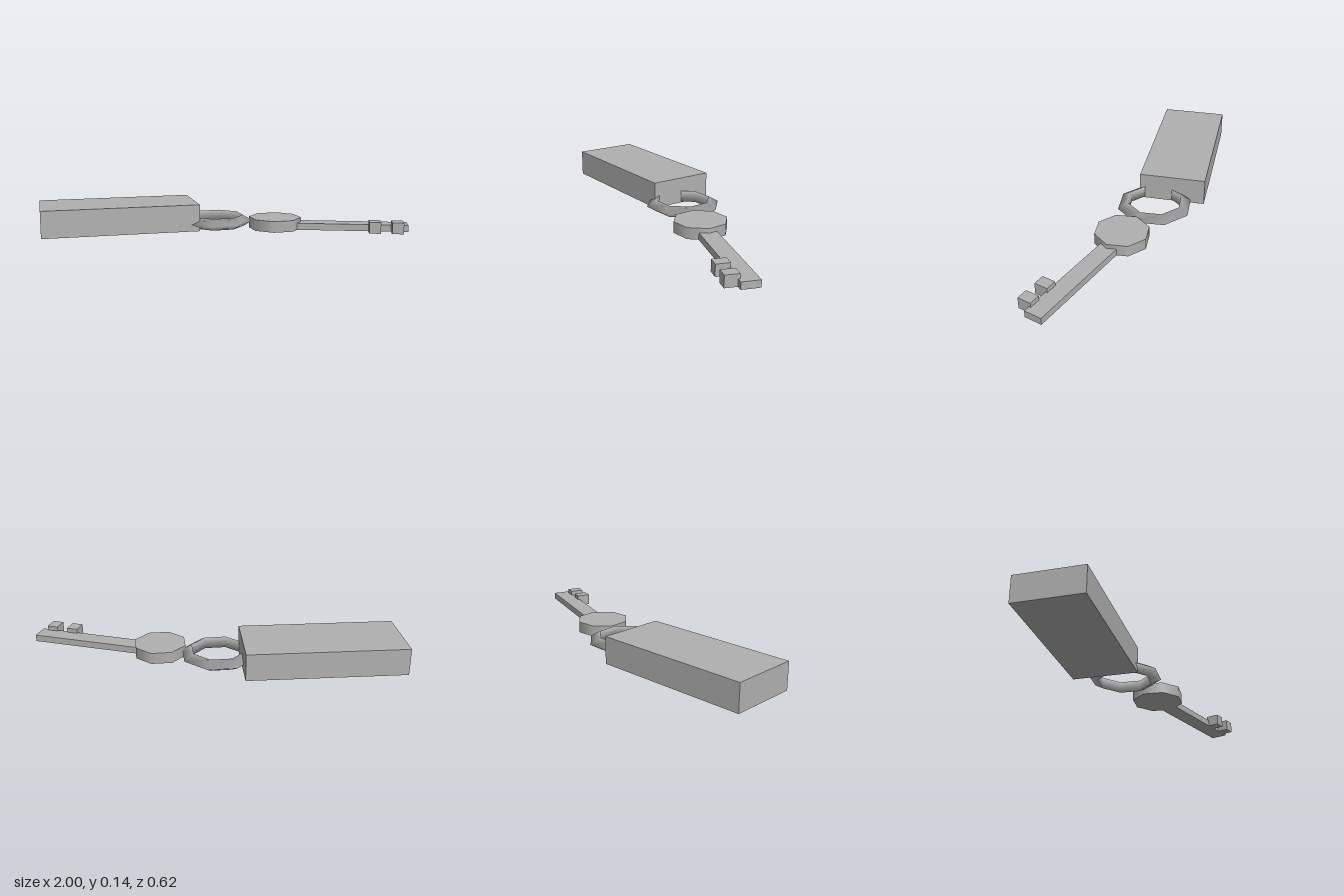
import * as THREE from 'three';

export function createModel() {
  const model = new THREE.Group();
  const grey = new THREE.MeshStandardMaterial({ name: 'plain grey', color: 0xb0b0b0 });

  function add(name, geometry, x, y, z, parent = model) {
    const mesh = new THREE.Mesh(geometry, grey);
    mesh.name = name;
    mesh.position.set(x, y, z);
    parent.add(mesh);
    return mesh;
  }

  // Fob block, turned on the table
  const fob = add('fob', new THREE.BoxGeometry(0.826, 0.143, 0.353), -0.552, 0.0715, 0.003);
  fob.rotation.y = THREE.MathUtils.degToRad(20);

  // Eight-sided ring with a triangular section, its ridge pointing outwards
  const ring = add('ring', new THREE.TorusGeometry(0.163, 0.036, 3, 8), -0.03, 0.037, -0.11);
  ring.rotation.x = Math.PI / 2;

  // Key: octagonal head, flat blade and two teeth
  const key = new THREE.Group();
  key.name = 'key';
  key.position.z = -0.111;
  model.add(key);
  add('keyHead', new THREE.CylinderGeometry(0.141, 0.141, 0.06, 8), 0.29, 0.03, 0, key);
  add('keyBlade', new THREE.BoxGeometry(0.62, 0.036, 0.093), 0.69, 0.018, 0, key);
  for (const x of [0.82, 0.938]) {
    add('keyTooth', new THREE.BoxGeometry(0.06, 0.06, 0.072), x, 0.03, 0.072, key);
  }

  return model;
}
